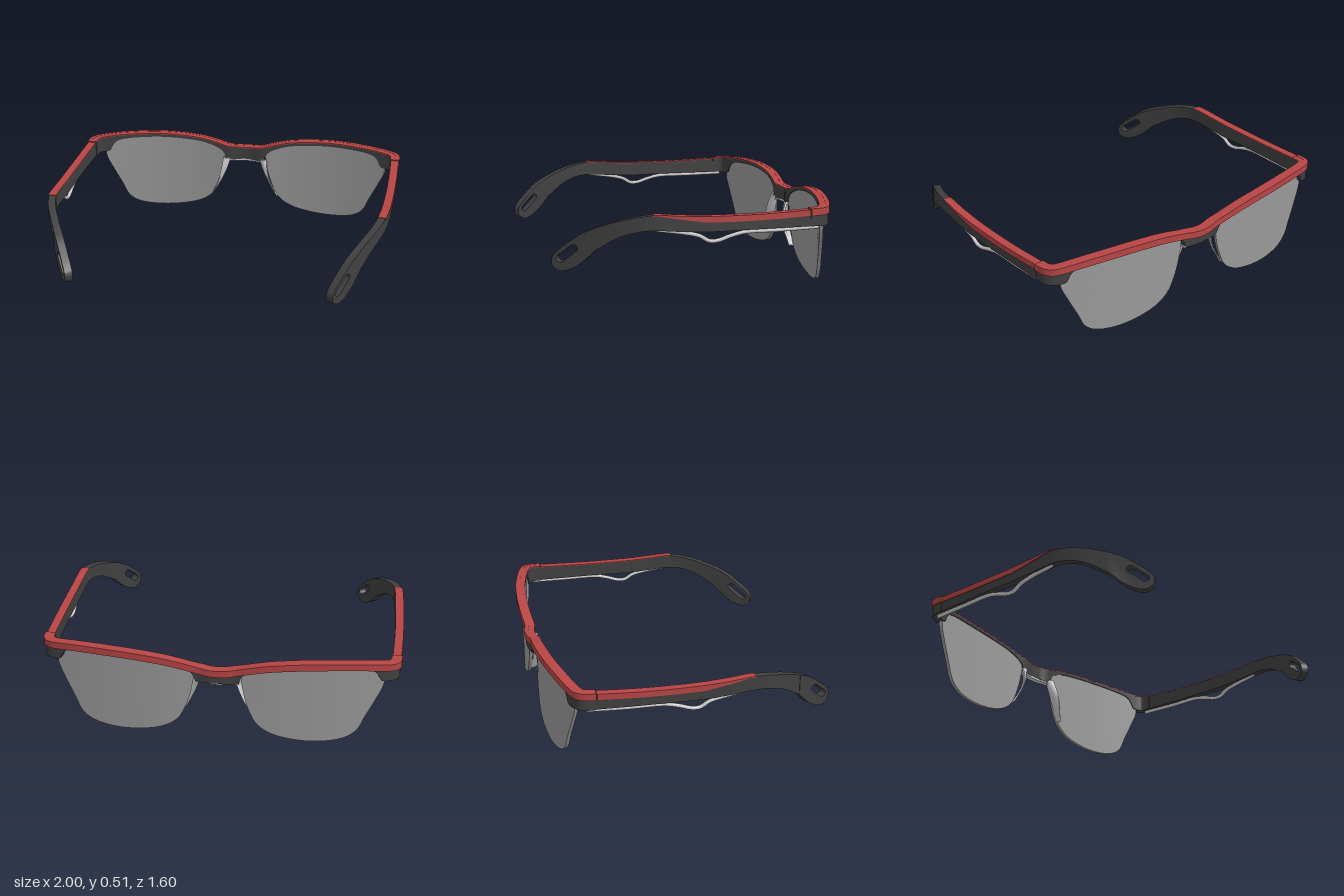
import * as THREE from 'three';
import { toCreasedNormals } from 'three/addons/utils/BufferGeometryUtils.js';

const material = (color) => new THREE.MeshStandardMaterial({ color });
const dark = material(0x404040), red = material(0xb84545);
const lensGrey = material(0x999999), clear = material(0xbcbcbc);

// Smooth function through a short table of [input, output] pairs
function smooth(table) {
  const slope = (i) => {
    const a = table[Math.max(i - 1, 0)], b = table[Math.min(i + 1, table.length - 1)];
    return (b[1] - a[1]) / (b[0] - a[0]);
  };
  return (u) => {
    let i = 0;
    while (i < table.length - 2 && u > table[i + 1][0]) i++;
    const [u0, v0] = table[i], [u1, v1] = table[i + 1];
    const h = u1 - u0, t = (u - u0) / h, t2 = t * t, t3 = t2 * t;
    return (2 * t3 - 3 * t2 + 1) * v0 + (t3 - 2 * t2 + t) * h * slope(i)
      + (3 * t2 - 2 * t3) * v1 + (t3 - t2) * h * slope(i + 1);
  };
}

// Plan line: u runs from the bridge, round the corner (0.96), to the ear tip (2.4)
const planX = smooth([[0, 0], [0.3, 0.3], [0.6, 0.6], [0.85, 0.85], [0.91, 0.91], [0.94, 0.942], [0.97, 0.96],
  [1.02, 0.965], [1.3, 0.973], [1.6, 0.973], [1.88, 0.962], [2, 0.935], [2.13, 0.878], [2.25, 0.815], [2.4, 0.728]]);
const planZ = smooth([[0, -0.772], [0.04, -0.771], [0.1, -0.759], [0.18, -0.764], [0.3, -0.767], [0.45, -0.76], [0.6, -0.743],
  [0.8, -0.703], [0.9, -0.675], [0.935, -0.659], [0.97, -0.63], [1.02, -0.58], [1.3, -0.3], [1.6, 0], [2.4, 0.79]]);
const plan = (u) => new THREE.Vector2(Math.sign(u) * planX(Math.abs(u)), planZ(Math.abs(u)));

// Place a point at plan position u, height y and depth d (positive is inward)
function place(u, y, d) {
  const p = plan(u), t = plan(u + 0.004).sub(plan(u - 0.004)).normalize();
  return new THREE.Vector3(p.x - t.y * d, y, p.y + t.x * d);
}

function remap(geometry, rule) {
  const pos = geometry.attributes.position;
  for (let i = 0; i < pos.count; i++) {
    const p = rule(pos.getX(i), pos.getY(i), pos.getZ(i));
    pos.setXYZ(i, p.x, p.y, p.z);
  }
  return toCreasedNormals(geometry, 0.6);
}

// Strip bent along the plan line, between two height rules and two depths
function band(u0, u1, bottom, top, d0, d1, segments = 100) {
  return remap(new THREE.BoxGeometry(1, 1, 1, segments, 1, 1), (x, y, z) => {
    const u = u0 + (x + 0.5) * (u1 - u0), a = Math.abs(u);
    return place(u, bottom(a) + (y + 0.5) * (top(a) - bottom(a)), d0 + (z + 0.5) * (d1 - d0));
  });
}

// Height rules
const browTop = smooth([[0, 0.433], [0.1, 0.441], [0.2, 0.466], [0.3, 0.486], [0.45, 0.501], [0.6, 0.506], [0.8, 0.5],
  [0.95, 0.487], [1.04, 0.484]]);
const browBottom = smooth([[0, 0.36], [0.115, 0.36], [0.14, 0.405], [0.2, 0.44], [0.3, 0.467], [0.5, 0.485], [0.7, 0.483],
  [0.82, 0.468], [0.86, 0.44], [0.88, 0.4], [0.93, 0.392], [1.04, 0.393]]);
const armTop = smooth([[1, 0.482], [1.3, 0.472], [1.6, 0.473], [1.75, 0.481], [1.9, 0.49], [2.055, 0.463], [2.18, 0.42]]);
const armBottom = smooth([[1, 0.393], [1.4, 0.393], [1.6, 0.392], [1.75, 0.4], [1.9, 0.41], [2, 0.397], [2.08, 0.365],
  [2.18, 0.3]]);
const offset = (rule, amount) => (u) => rule(u) + amount;

// Rounded lens disc filling a closed outline
function lensGeometry(side) {
  const points = [[0.135, 0.41], [0.14, 0.31], [0.17, 0.2], [0.22, 0.105], [0.31, 0.047], [0.52, 0.012], [0.7, 0.032],
    [0.77, 0.078], [0.81, 0.16], [0.86, 0.26], [0.905, 0.365], [0.9, 0.42], [0.85, 0.473], [0.7, 0.493], [0.5, 0.495],
    [0.3, 0.477], [0.2, 0.45]].map(([u, y]) => new THREE.Vector3(side * u, y, 0));
  if (side < 0) points.reverse();
  const outline = new THREE.CatmullRomCurve3(points, true);
  const radii = [0, 0.2, 0.4, 0.6, 0.8, 1];
  const profile = [...radii.map((r) => new THREE.Vector2(r, 0.001)),
    ...radii.slice().reverse().map((r) => new THREE.Vector2(r, 0.021))];
  return remap(new THREE.LatheGeometry(profile, 96), (x, d, z) => {
    const angle = (Math.atan2(x, z) / (2 * Math.PI) + 1) % 1;
    const edge = outline.getPoint(angle), r = Math.hypot(x, z);
    return place(side * 0.52 + (edge.x - side * 0.52) * r, 0.28 + (edge.y - 0.28) * r, d);
  });
}

// Rounded ear tip with a slot
function tipGeometry(side) {
  const v = (u, y) => new THREE.Vector2(side * u, y);
  const shape = new THREE.Shape([v(2.18, 0.42)]);
  shape.splineThru([v(2.25, 0.385), v(2.31, 0.338), v(2.375, 0.278), v(2.397, 0.24), v(2.392, 0.2), v(2.355, 0.178),
    v(2.31, 0.188), v(2.25, 0.228), v(2.18, 0.3)]);
  const slot = new THREE.Path();
  for (let i = 0; i < 24; i++) {
    const a = (i / 24) * Math.PI * 2 + Math.PI * 0.28;
    const end = i < 12 ? [2.288, 0.304] : [2.355, 0.245];
    const p = v(end[0] + 0.02 * Math.cos(a), end[1] + 0.02 * Math.sin(a));
    if (i === 0) slot.moveTo(p.x, p.y); else slot.lineTo(p.x, p.y);
  }
  slot.closePath();
  shape.holes.push(slot);
  const geometry = new THREE.ExtrudeGeometry(shape, { depth: 0.045, bevelEnabled: false, curveSegments: 5 });
  return remap(geometry, (u, y, d) => place(u, y, d - 0.0225));
}

// Crescent nose pad, standing inward of the lens edge
function nosePadGeometry(side) {
  const path = (...p) => new THREE.CatmullRomCurve3(p.map((q) => new THREE.Vector3(...q)));
  const edge = path([0.095, 0.365, -0.74], [0.115, 0.3, -0.735], [0.15, 0.22, -0.735], [0.21, 0.115, -0.74]);
  const pad = path([0.14, 0.372, -0.725], [0.15, 0.3, -0.703], [0.172, 0.22, -0.7], [0.212, 0.125, -0.73]);
  return remap(new THREE.BoxGeometry(1, 1, 1, 4, 24, 1), (x, y, z) => {
    const w = side * x + 0.5;
    const p = edge.getPoint(0.5 - y).lerp(pad.getPoint(0.5 - y), w);
    p.z += z * 0.014 + 0.012 * Math.sin(w * Math.PI);
    p.x *= side;
    return p;
  });
}

// Thin wire slung beneath the temple
function wireGeometry(side) {
  const points = [[0.98, 0.384], [1.2, 0.38], [1.4, 0.378], [1.48, 0.36], [1.54, 0.341], [1.59, 0.34], [1.645, 0.37],
    [1.72, 0.388], [1.88, 0.412]].map(([u, y]) => place(side * u, y, 0));
  return new THREE.TubeGeometry(new THREE.CatmullRomCurve3(points), 90, 0.011, 8);
}

export function createModel() {
  const model = new THREE.Group();
  model.name = 'glasses';
  model.rotation.z = 0.0125;
  const add = (name, geometry, mat) => {
    const mesh = new THREE.Mesh(geometry, mat);
    mesh.name = name;
    model.add(mesh);
  };

  // Brow frame with a coloured outer band and top cap
  add('browFrame', band(-1.03, 1.03, browBottom, browTop, -0.024, 0.027, 260), dark);
  add('browBand', band(-1.03, 1.03, offset(browTop, -0.034), offset(browTop, 0.005), -0.031, -0.008, 220), red);
  add('browCap', band(-1.03, 1.03, offset(browTop, -0.002), offset(browTop, 0.004), -0.01, 0.0275, 220), red);

  // Clear bridge piece under the brow
  add('noseBridge', band(-0.12, 0.12, () => 0.346, () => 0.364, -0.012, 0.024, 30), clear);

  for (const side of [1, -1]) {
    const label = side > 0 ? 'left' : 'right';
    const strip = (u0, u1, ...rest) => (side > 0 ? band(u0, u1, ...rest) : band(-u1, -u0, ...rest));
    add(label + 'Lens', lensGeometry(side), lensGrey);
    add(label + 'NosePad', nosePadGeometry(side), clear);

    // Temple arm, its tapering coloured strip, ear tip and wire
    const taper = (u) => armTop(u) - 0.03 * Math.min(1, Math.max(0.1, (1.9 - u) / 0.3));
    add(label + 'Temple', strip(1.025, 2.18, armBottom, armTop, -0.02, 0.0225), dark);
    add(label + 'TempleBand', strip(1.035, 1.9, taper, offset(armTop, 0.003), -0.025, -0.004, 60), red);
    add(label + 'TempleCap', strip(1.035, 1.9, offset(armTop, -0.002), offset(armTop, 0.003), -0.006, 0.023, 60), red);
    add(label + 'EarTip', tipGeometry(side), dark);
    add(label + 'Wire', wireGeometry(side), clear);
  }
  return model;
}
